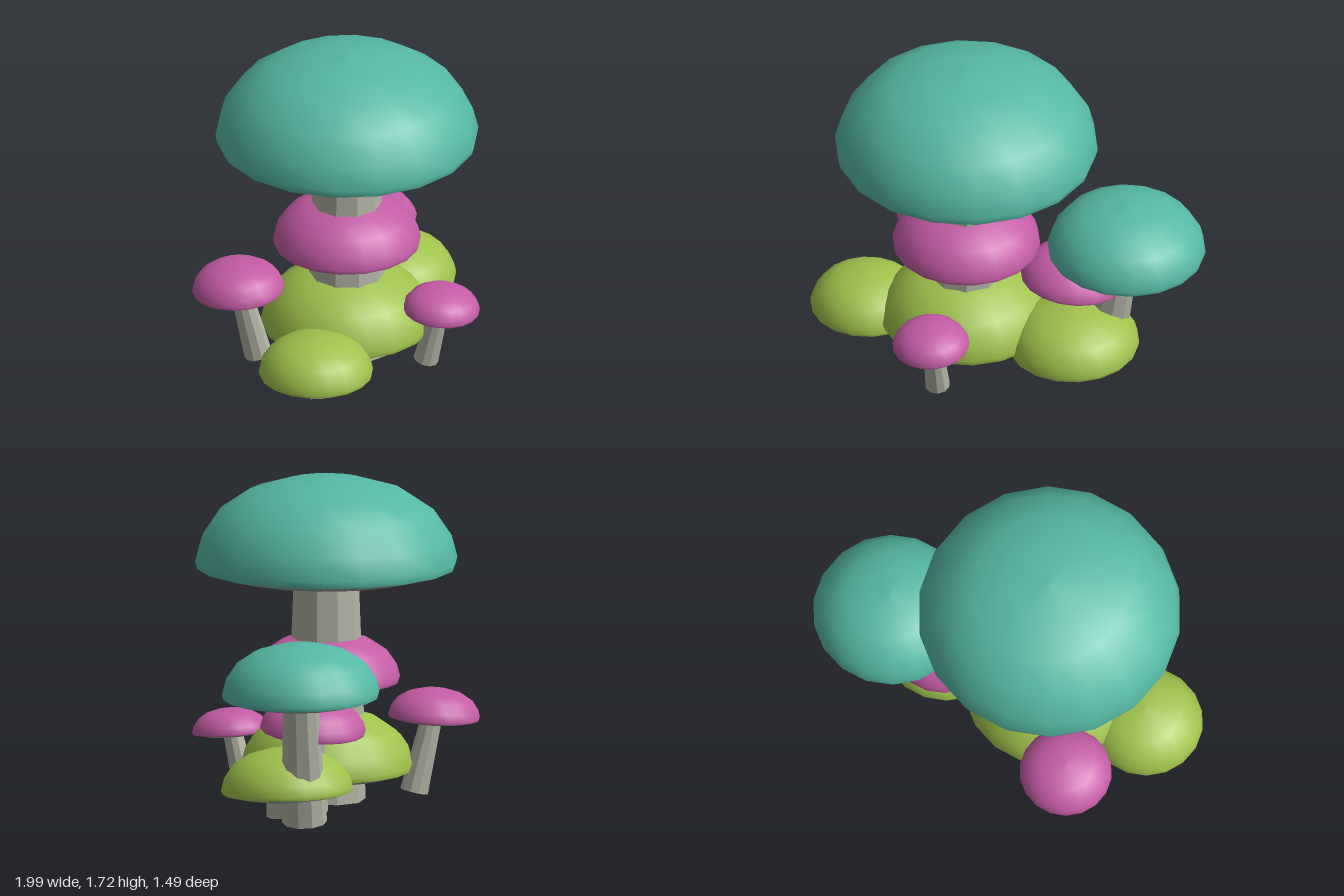
import * as THREE from 'three';

const TEAL = 0x55b8a5, PINK = 0xc45ca5, GREEN = 0x9fc24c;

// Unit cap profiles: rim at y = 0, radius 1, crown height 1
const DOME = [[0.985, -0.09], [1, 0], [0.957, 0.26], [0.82, 0.58], [0.595, 0.82], [0.3, 0.96], [0, 1]];
const GILLS = [[0, -0.23], [0.4, -0.22], [0.77, -0.18], [0.985, -0.09]];

// cap: centre of the rim, r: radius, h: crown height, tilt: [x, z] rotation
// top / foot: stem ends, rt / rf: stem radii there
const MUSHROOMS = [
  { name: 'tallMushroom', color: TEAL, cap: [-0.19, 1.285, 0.03], r: 0.69, h: 0.437,
    top: [-0.19, 1.25, 0.03], foot: [-0.19, 0.45, 0.03], rt: 0.168, rf: 0.198 },
  { name: 'middleTier', color: PINK, cap: [-0.19, 0.66, 0.03], r: 0.388, h: 0.24,
    top: [-0.19, 0.65, 0.03], foot: [-0.19, 0.3, 0.035], rt: 0.19, rf: 0.205 },
  { name: 'lowerTier', color: GREEN, cap: [-0.19, 0.195, 0.03], r: 0.452, h: 0.3,
    top: [-0.19, 0.3, 0.035], foot: [-0.19, 0.025, 0.055], rt: 0.2, rf: 0.228 },
  { name: 'backMushroom', color: TEAL, cap: [0.583, 0.727, -0.327], r: 0.415, h: 0.258, tilt: [0, -0.03],
    top: [0.572, 0.72, -0.315], foot: [0.462, 0.018, -0.27], rt: 0.092, rf: 0.118 },
  { name: 'leftGreenMushroom', color: GREEN, cap: [0.393, 0.17, -0.112], r: 0.347, h: 0.212, tilt: [0.03, 0],
    top: [0.39, 0.18, -0.11], foot: [0.385, 0.025, -0.12], rt: 0.105, rf: 0.118 },
  { name: 'rightGreenMushroom', color: GREEN, cap: [-0.702, 0.148, 0.2], r: 0.3, h: 0.19,
    top: [-0.7, 0.16, 0.2], foot: [-0.69, 0.028, 0.2], rt: 0.092, rf: 0.103 },
  { name: 'leftPinkMushroom', color: PINK, cap: [0.315, 0.488, -0.224], r: 0.278, h: 0.155, tilt: [-0.1, -0.04],
    top: [0.31, 0.48, -0.215], foot: [0.222, 0.028, -0.165], rt: 0.064, rf: 0.077 },
  { name: 'rightPinkMushroom', color: PINK, cap: [-0.62, 0.43, -0.36], r: 0.242, h: 0.144, tilt: [-0.04, 0.04],
    top: [-0.615, 0.42, -0.35], foot: [-0.545, 0.03, -0.285], rt: 0.055, rf: 0.074 },
  { name: 'frontPinkMushroom', color: PINK, cap: [-0.056, 0.347, 0.543], r: 0.202, h: 0.115, tilt: [0.08, 0],
    top: [-0.055, 0.34, 0.53], foot: [-0.075, 0.025, 0.456], rt: 0.05, rf: 0.066 },
];

const stemMaterial = new THREE.MeshStandardMaterial({ color: 0xb2b4a5, flatShading: true });
const gillMaterial = new THREE.MeshStandardMaterial({ color: 0x9ca69a });

// Smooth 18-sided turned surface scaled to the cap size
function turned(profile, r, h, material, name) {
  const points = profile.map(([x, y]) => new THREE.Vector2(x * r, y * h));
  const mesh = new THREE.Mesh(new THREE.LatheGeometry(points, 18), material);
  mesh.name = name;
  return mesh;
}

// Faceted tapered stem between two points
function makeStem({ foot, top, rf, rt }) {
  const a = new THREE.Vector3(...foot), b = new THREE.Vector3(...top);
  const axis = b.clone().sub(a);
  const stem = new THREE.Mesh(new THREE.CylinderGeometry(rt, rf, axis.length(), 10), stemMaterial);
  stem.position.copy(a).add(b).multiplyScalar(0.5);
  stem.quaternion.setFromUnitVectors(new THREE.Vector3(0, 1, 0), axis.normalize());
  stem.name = 'stem';
  return stem;
}

function makeMushroom(m) {
  const mushroom = new THREE.Group();
  mushroom.name = m.name;
  const cap = new THREE.Group();
  cap.name = 'cap';
  cap.position.set(...m.cap);
  const [tx, tz] = m.tilt ?? [0, 0];
  cap.rotation.set(tx, 0, tz);
  cap.add(
    turned(DOME, m.r, m.h, new THREE.MeshStandardMaterial({ color: m.color }), 'capDome'),
    turned(GILLS, m.r, m.h, gillMaterial, 'capUnderside'),
  );
  mushroom.add(cap, makeStem(m));
  return mushroom;
}

export function createModel() {
  const model = new THREE.Group();
  model.name = 'mushroomCluster';
  for (const m of MUSHROOMS) model.add(makeMushroom(m));
  return model;
}
